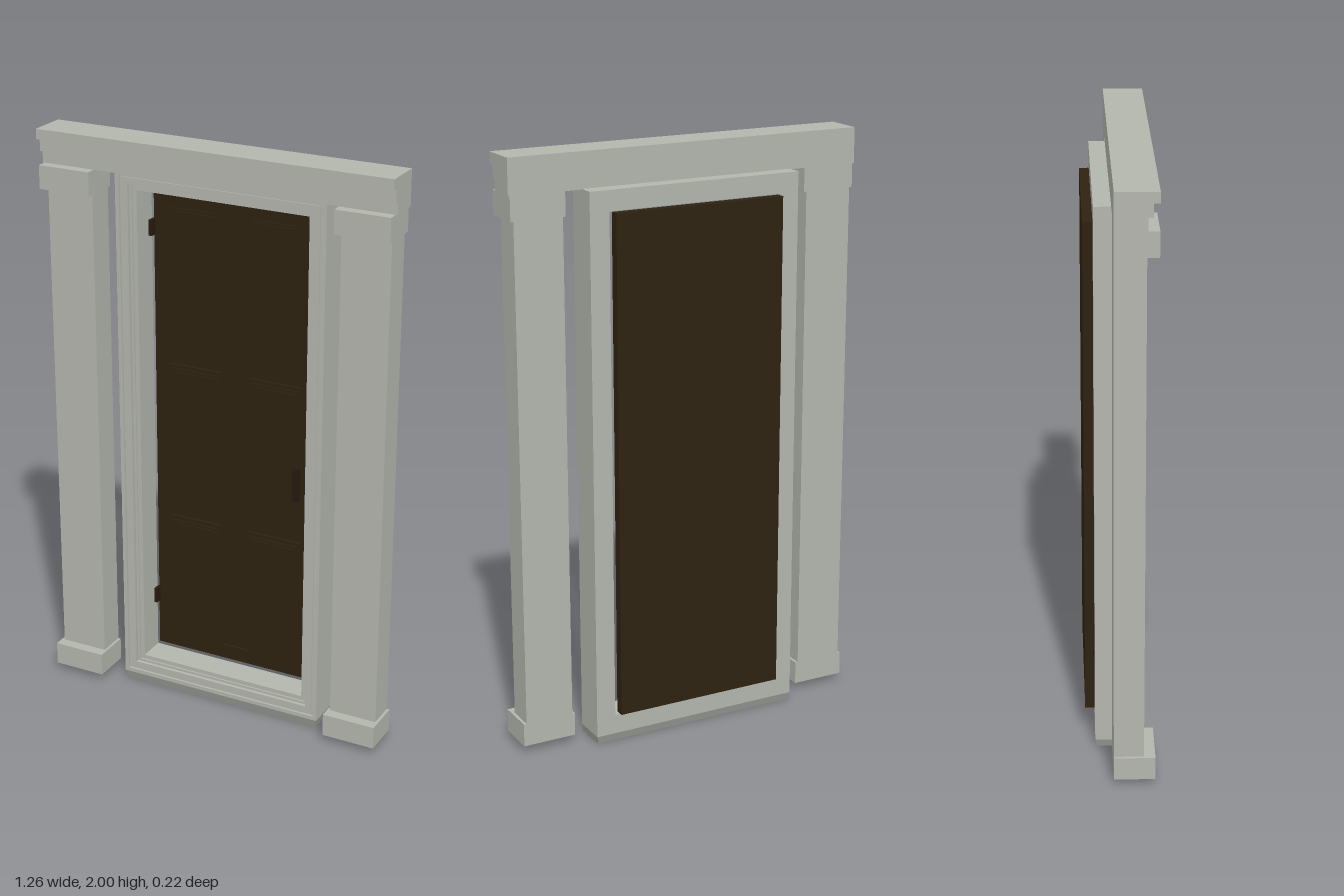
import * as THREE from 'three';

const stone = new THREE.MeshStandardMaterial({ color: 0xb3b6ad });
stone.name = 'paleStone';
const sillStone = new THREE.MeshStandardMaterial({ color: 0x8c8f89 });
sillStone.name = 'darkStone';
const wood = new THREE.MeshStandardMaterial({ color: 0x2e2211 });
wood.name = 'darkWood';
const iron = new THREE.MeshStandardMaterial({ color: 0x251b0e });
iron.name = 'darkIron';

// Box given by its minimum and maximum on each axis
function box(parent, name, material, [x0, x1], [y0, y1], [z0, z1]) {
  const mesh = new THREE.Mesh(new THREE.BoxGeometry(x1 - x0, y1 - y0, z1 - z0), material);
  mesh.position.set((x0 + x1) / 2, (y0 + y1) / 2, (z0 + z1) / 2);
  mesh.name = name;
  parent.add(mesh);
  return mesh;
}

const points = (list) => list.map(([x, y]) => new THREE.Vector2(x, y));
const rect = (w, y0, y1) => points([[-w, y0], [w, y0], [w, y1], [-w, y1]]);

function extrude(parent, name, material, outline, hole, z0, z1) {
  const shape = new THREE.Shape(outline);
  if (hole) shape.holes.push(new THREE.Path(hole));
  const geometry = new THREE.ExtrudeGeometry(shape, { depth: z1 - z0, bevelEnabled: false });
  const mesh = new THREE.Mesh(geometry, material);
  mesh.position.z = z0;
  mesh.name = name;
  parent.add(mesh);
  return mesh;
}

function createEntablature() {
  // Stepped moulding profile (z, y), run along the full width
  const profile = points([
    [-0.025, 1.88], [0.075, 1.88], [0.075, 1.922], [0.09, 1.922],
    [0.09, 1.965], [0.11, 1.965], [0.11, 2], [-0.025, 2],
  ]);
  const geometry = new THREE.ExtrudeGeometry(new THREE.Shape(profile), { depth: 1.256, bevelEnabled: false });
  geometry.rotateY(-Math.PI / 2); // profile x becomes z, length runs toward -x
  geometry.translate(0.628, 0, 0);
  const mesh = new THREE.Mesh(geometry, stone);
  mesh.name = 'entablature';
  return mesh;
}

function createPilaster(side) {
  const group = new THREE.Group();
  group.name = side > 0 ? 'leftPilaster' : 'rightPilaster';
  const span = (a, b) => (side > 0 ? [a, b] : [-b, -a]);
  box(group, 'base', stone, span(0.435, 0.622), [0.025, 0.105], [-0.025, 0.11]);
  box(group, 'shaft', stone, span(0.444, 0.612), [0.105, 1.8], [-0.025, 0.073]);
  box(group, 'capital', stone, span(0.435, 0.622), [1.8, 1.88], [-0.025, 0.11]);
  return group;
}

function createFrame() {
  const group = new THREE.Group();
  group.name = 'doorFrame';
  // Nested rings step inward and back toward the opening
  const insets = [0, 0.014, 0.023, 0.044, 0.053, 0.068];
  const fronts = [0.04, 0.032, 0.036, 0.024, 0.018];
  const ring = (i) => rect(0.378 - i, 0.025 + i, 1.882 - i);
  fronts.forEach((front, k) => {
    extrude(group, 'frameMoulding', stone, ring(insets[k]), ring(insets[k + 1]), -0.08, front);
  });
  box(group, 'sill', sillStone, [-0.375, 0.375], [0, 0.025], [-0.077, 0.04]);
  return group;
}

function createDoor() {
  const group = new THREE.Group();
  group.name = 'door';
  const face = -0.08;
  box(group, 'doorSlab', wood, [-0.302, 0.302], [0.104, 1.812], [-0.112, face - 0.008]);

  // Front skin with a recessed centre strip and two cross rails
  const rails = [[0.622, 0.72], [1.19, 1.29]];
  const m = 0.05, r = 0.25, rightSide = [[m, 0.155]];
  for (const [y0, y1] of rails) rightSide.push([m, y0], [r, y0], [r, y1], [m, y1]);
  rightSide.push([m, 1.765]);
  const leftSide = rightSide.map(([x, y]) => [-x, y]).reverse();
  extrude(group, 'doorFace', wood, rect(0.302, 0.104, 1.812), points([...rightSide, ...leftSide]), face - 0.008, face);

  // Six raised panels, each with a second raised field
  for (const [y0, y1] of [[0.17, 0.608], [0.735, 1.177], [1.305, 1.743]]) {
    for (const [x0, x1] of [[-0.238, -0.062], [0.062, 0.238]]) {
      box(group, 'panel', wood, [x0, x1], [y0, y1], [face - 0.004, face + 0.005]);
      box(group, 'panelField', wood, [x0 + 0.01, x1 - 0.01], [y0 + 0.01, y1 - 0.01], [face, face + 0.009]);
    }
  }

  // Pull handle and hinges
  box(group, 'handle', iron, [0.223, 0.245], [0.78, 0.905], [face - 0.004, face + 0.015]);
  for (const y of [0.3, 1.667]) {
    box(group, 'hinge', iron, [-0.309, -0.297], [y - 0.027, y + 0.027], [face - 0.004, face + 0.025]);
  }
  return group;
}

export function createModel() {
  const model = new THREE.Group();
  model.name = 'doorway';
  model.add(createEntablature(), createPilaster(1), createPilaster(-1), createFrame(), createDoor());
  return model;
}
